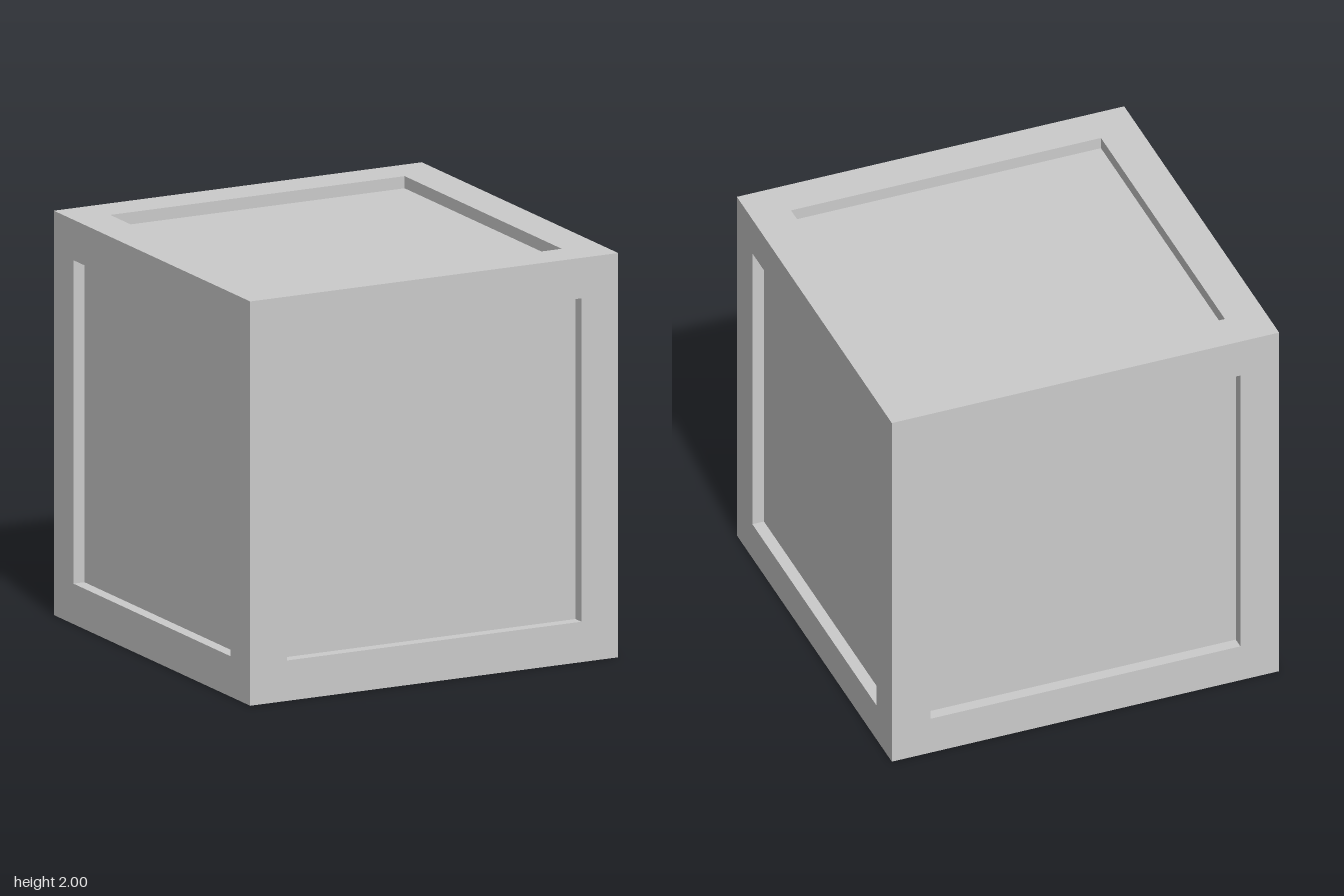
import * as THREE from 'three';
import { mergeGeometries } from 'three/addons/utils/BufferGeometryUtils.js';

const HALF = 1;       // half the cube's side
const INNER = 0.8;    // half the recessed panel's side
const DEPTH = 0.06;   // depth of the recess

function square(PathType, h) {
  return new PathType([[-h, -h], [h, -h], [h, h], [-h, h]].map(([x, y]) => new THREE.Vector2(x, y)));
}

export function createModel() {
  const model = new THREE.Group();
  model.name = 'crate';
  const material = new THREE.MeshStandardMaterial({ color: 0xcccccc });

  // Flat border around the recess
  const border = square(THREE.Shape, HALF);
  border.holes.push(square(THREE.Path, INNER));
  const frameGeometry = new THREE.ShapeGeometry(border).translate(0, 0, HALF);

  // Four narrow walls leading down to the panel
  const walls = [];
  for (let i = 0; i < 4; i++) {
    walls.push(new THREE.PlaneGeometry(2 * INNER, DEPTH)
      .rotateX(-Math.PI / 2)
      .translate(0, -INNER, HALF - DEPTH / 2)
      .rotateZ(i * Math.PI / 2));
  }
  const wallGeometry = mergeGeometries(walls);

  // Sunken panel
  const panelGeometry = new THREE.PlaneGeometry(2 * INNER, 2 * INNER).translate(0, 0, HALF - DEPTH);

  // The same side repeated on all six faces
  const q = Math.PI / 2;
  const sides = {
    front: [0, 0], left: [0, q], back: [0, 2 * q], right: [0, -q], top: [-q, 0], bottom: [q, 0],
  };
  for (const [name, [rx, ry]] of Object.entries(sides)) {
    const side = new THREE.Group();
    side.name = name + 'Side';
    const parts = { Frame: frameGeometry, RecessWalls: wallGeometry, Panel: panelGeometry };
    for (const [part, geometry] of Object.entries(parts)) {
      const mesh = new THREE.Mesh(geometry, material);
      mesh.name = name + part;
      side.add(mesh);
    }
    side.rotation.set(rx, ry, 0);
    side.position.y = HALF;
    model.add(side);
  }
  return model;
}
